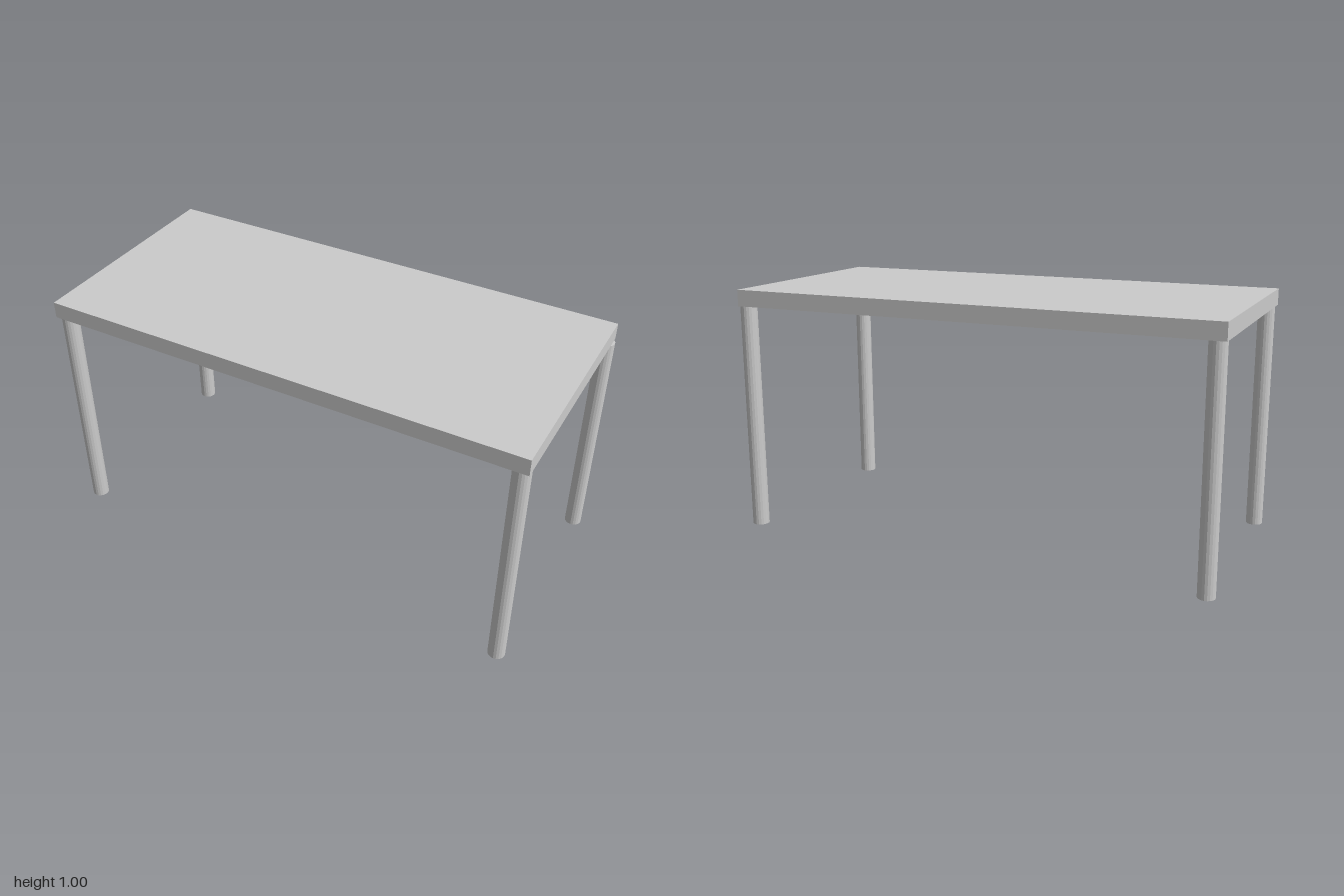
import * as THREE from 'three';

export function createModel() {
  const table = new THREE.Group();
  table.name = 'table';
  const material = new THREE.MeshStandardMaterial({ color: 0xcccccc, flatShading: true });

  const topThickness = 0.067;
  const legHeight = 1 - topThickness;
  const legRadius = 0.034;

  // Rectangular slab
  const top = new THREE.Mesh(new THREE.BoxGeometry(1.99, topThickness, 0.93), material);
  top.name = 'tableTop';
  top.position.set(-0.005, 1 - topThickness / 2, 0);
  table.add(top);

  // Round legs; the back left one stands slightly proud of the slab
  const legGeometry = new THREE.CylinderGeometry(legRadius, legRadius, legHeight, 20);
  const legs = [
    ['frontLeftLeg', 0.953, 0.427],
    ['backLeftLeg', 0.966, -0.427],
    ['frontRightLeg', -0.962, 0.427],
    ['backRightLeg', -0.962, -0.427],
  ];
  for (const [name, x, z] of legs) {
    const leg = new THREE.Mesh(legGeometry, material);
    leg.name = name;
    leg.position.set(x, legHeight / 2, z);
    table.add(leg);
  }

  return table;
}
